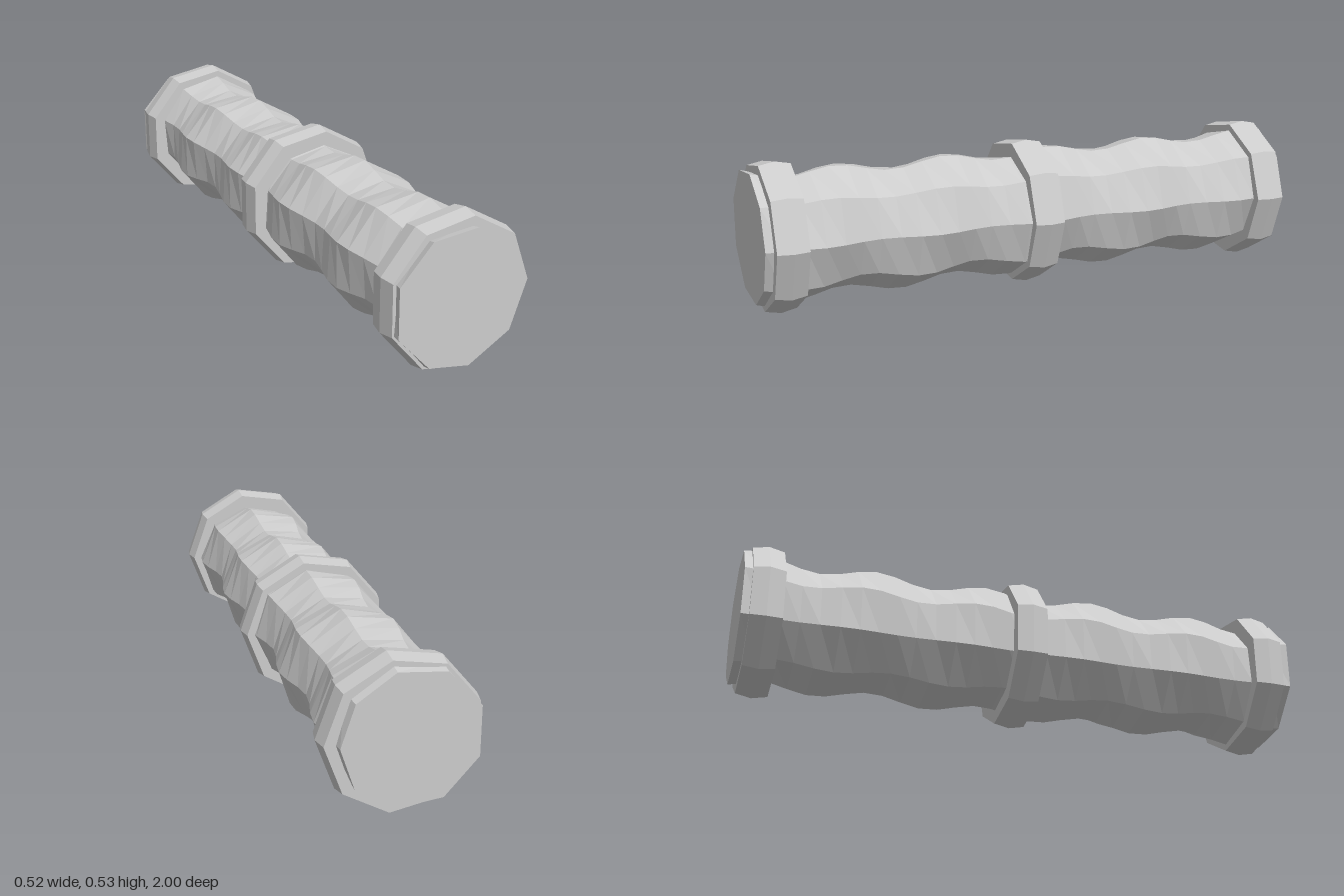
import * as THREE from 'three';

const SIDES = 9;
const CX = -0.009, CY = 0.264;

// Lay a y-axis solid along z with a corner pointing to +x, then facet it
function layAlongZ(geometry) {
  geometry.rotateX(-Math.PI / 2);
  geometry.rotateZ(-Math.PI / 2);
  return geometry;
}

function facet(geometry) {
  const flat = geometry.toNonIndexed();
  flat.computeVertexNormals();
  return flat;
}

// Nine-sided shaft whose radius ripples in a helix, slightly flared at the ends
function shaftGeometry() {
  const g = layAlongZ(new THREE.CylinderGeometry(1, 1, 2, SIDES, 30));
  const p = g.attributes.position;
  for (let i = 0; i < p.count; i++) {
    const x = p.getX(i), y = p.getY(i), z = p.getZ(i);
    const angle = Math.atan2(y, x);
    const flare = Math.abs(z) > 0.92 ? 1.07 : 1;
    const r = flare * (0.217 + 0.0175 * Math.cos(5 * Math.PI * z + angle));
    p.setXY(i, x * r, y * r);
  }
  return facet(g);
}

// Collar with a shallow ridge around its middle
function collarGeometry() {
  const profile = [[0.18, -0.055], [0.256, -0.055], [0.267, 0], [0.256, 0.055], [0.18, 0.055]]
    .map(([r, y]) => new THREE.Vector2(r, y));
  return facet(layAlongZ(new THREE.LatheGeometry(profile, SIDES)));
}

export function createModel() {
  const model = new THREE.Group();
  model.name = 'ribbedHandle';
  const grey = new THREE.MeshStandardMaterial({ color: 0xcccccc });
  grey.name = 'lightGrey';

  const add = (name, geometry, z) => {
    const mesh = new THREE.Mesh(geometry, grey);
    mesh.name = name;
    mesh.position.set(CX, CY, z);
    model.add(mesh);
  };

  add('shaft', shaftGeometry(), 0);
  const collar = collarGeometry();
  add('frontCollar', collar, 0.917);
  add('middleCollar', collar, 0.003);
  add('backCollar', collar, -0.917);
  return model;
}
